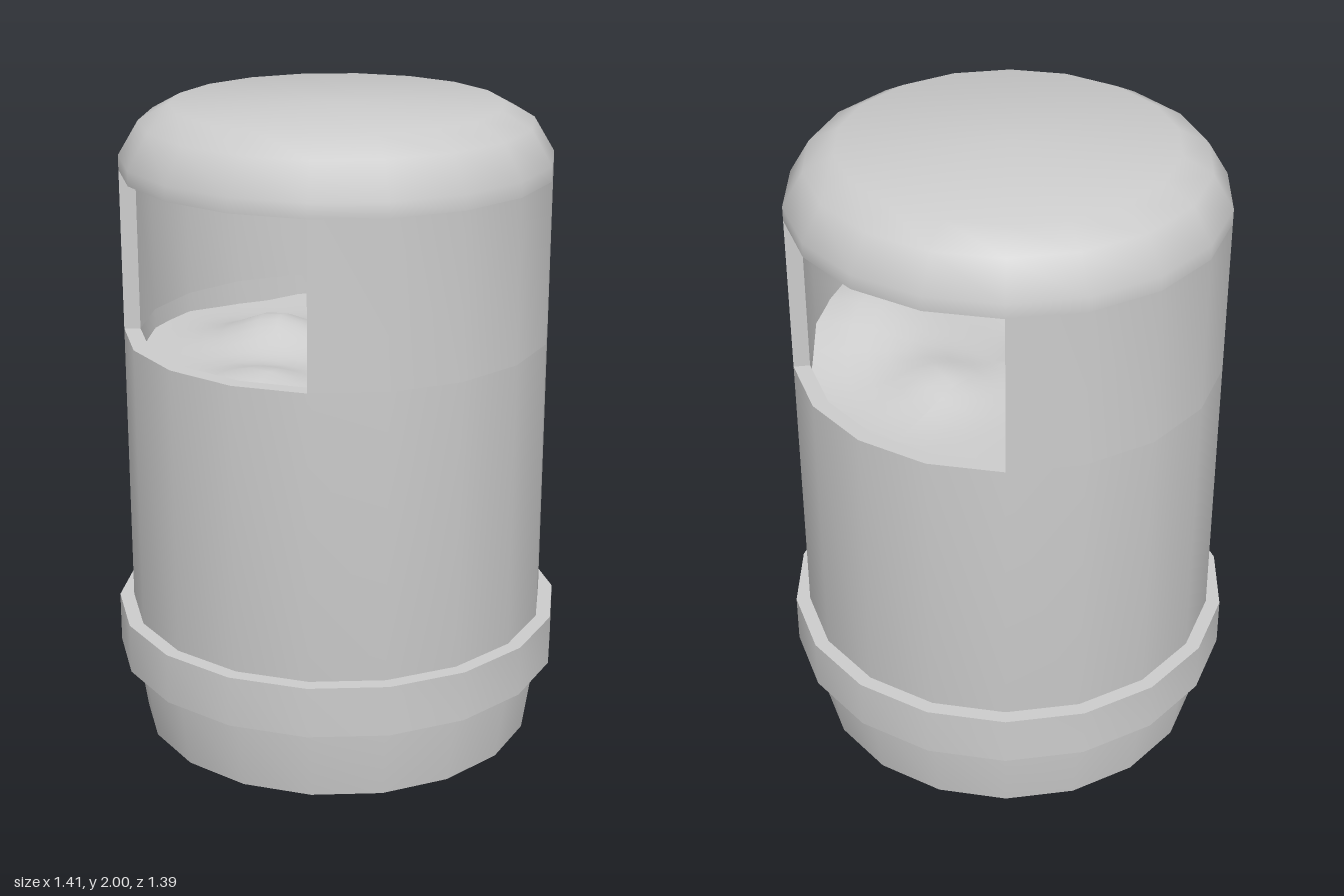
import * as THREE from 'three';
import { toCreasedNormals } from 'three/addons/utils/BufferGeometryUtils.js';

const SIDES = 18;
const OUTER = 0.66, INNER = 0.61;
const SILL = 1.3, LINTEL = 1.8;
const CREASE = 0.75;
const material = new THREE.MeshStandardMaterial({ color: 0xcccccc });
const doubleSided = new THREE.MeshStandardMaterial({ color: 0xcccccc, side: THREE.DoubleSide });

export function createModel() {
  const group = new THREE.Group();

  const add = (name, geometry, mat = material) => {
    const mesh = new THREE.Mesh(geometry, mat);
    mesh.name = name;
    group.add(mesh);
    return mesh;
  };

  // Eighteen-sided turned part with a corner on the x axis
  const turned = (points) => toCreasedNormals(
    new THREE.LatheGeometry(points.map(([r, y]) => new THREE.Vector2(r, y)), SIDES, Math.PI / 2),
    CREASE
  );

  // Bin body: tapered foot, straight wall, rim and inner wall
  add('body', turned([
    [0, 0], [0.625, 0], [OUTER, 0.24], [OUTER, SILL], [INNER, SILL], [INNER, 1.0],
  ]));

  // Raised band above the foot
  add('band', turned([
    [0.65, 0.24], [0.705, 0.24], [0.705, 0.4], [0.65, 0.4],
  ]));

  // Hollow domed lid
  add('lid', turned([
    [0, 1.95], [0.47, 1.95], [0.56, 1.9], [INNER, LINTEL], [OUTER, LINTEL],
    [OUTER, 1.845], [0.597, 1.95], [0.505, 2], [0, 2],
  ]));

  // Front and back wall sections that leave an opening on each side
  const section = new THREE.Shape();
  const corner = (r, i) => {
    const a = THREE.MathUtils.degToRad(40 + 20 * i);
    return new THREE.Vector2(r * Math.cos(a), r * Math.sin(a));
  };
  const arc = [0, 1, 2, 3, 4, 5];
  section.setFromPoints([
    ...arc.map((i) => corner(OUTER, i)),
    ...arc.reverse().map((i) => corner(INNER, i)),
  ]);
  const wall = new THREE.ExtrudeGeometry(section, { depth: LINTEL - SILL, bevelEnabled: false });
  wall.rotateX(-Math.PI / 2);
  const wallGeometry = toCreasedNormals(wall, CREASE);
  ['backWall', 'frontWall'].forEach((name, i) => {
    const mesh = add(name, wallGeometry);
    mesh.position.y = SILL;
    mesh.rotation.y = i * Math.PI;
  });

  // Uneven heap of rubbish inside, higher towards the front
  const heap = new THREE.RingGeometry(0, 0.62, 36, 10);
  heap.rotateX(-Math.PI / 2);
  const lumps = [
    [0.15, 0.52, 0.14, 0.26], [-0.2, 0.58, 0.09, 0.2],
    [-0.1, -0.18, 0.1, 0.16], [0.25, 0.08, 0.06, 0.14], [-0.4, 0.12, 0.05, 0.12],
  ];
  const p = heap.attributes.position;
  for (let i = 0; i < p.count; i++) {
    const x = p.getX(i), z = p.getZ(i);
    let y = 1.23 + 0.01 * Math.sin(9 * x + 5 * z);
    for (const [cx, cz, height, width] of lumps) {
      y += height * Math.exp(-((x - cx) ** 2 + (z - cz) ** 2) / (width * width));
    }
    p.setY(i, y);
  }
  heap.computeVertexNormals();
  add('rubbish', heap, doubleSided);

  return group;
}
